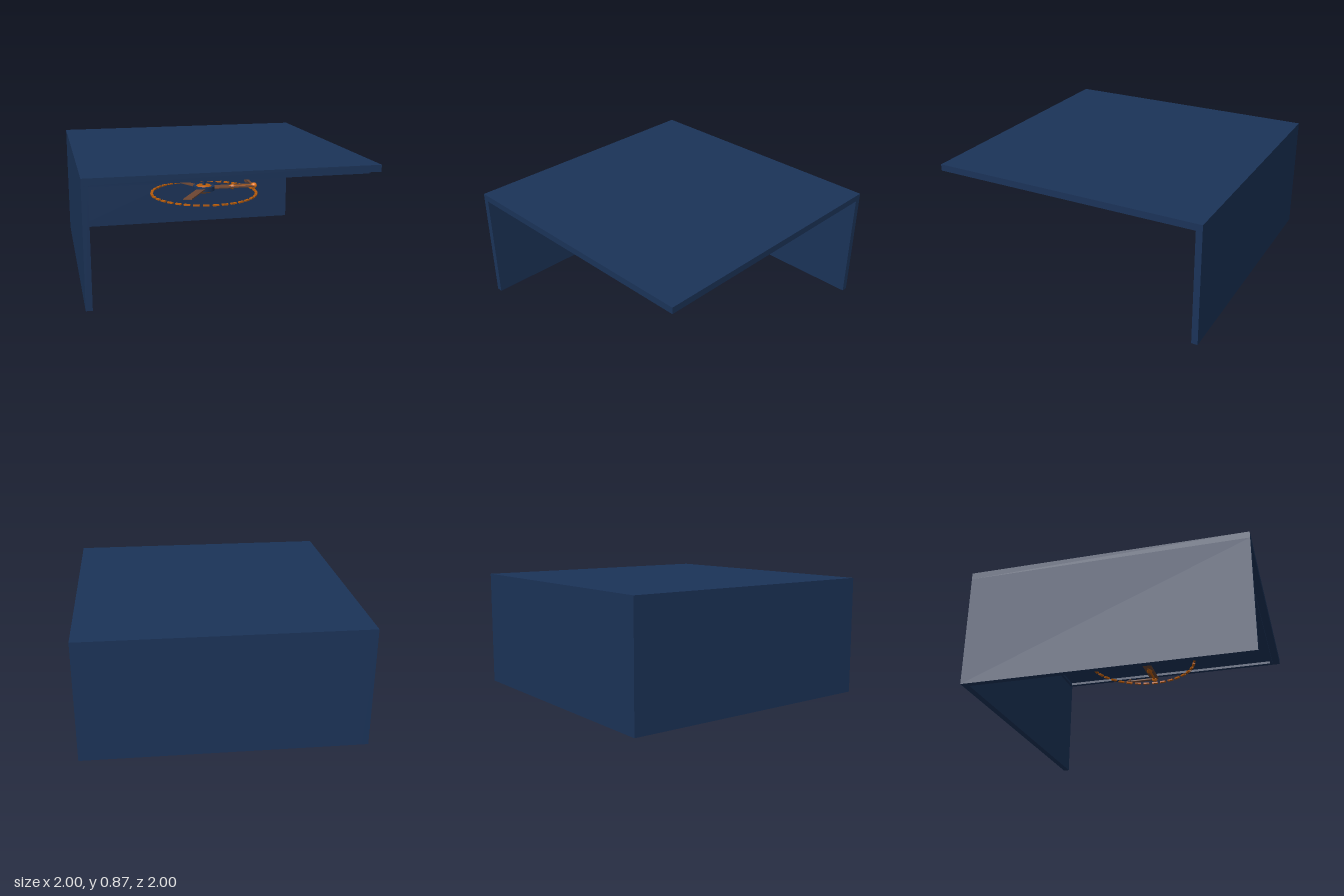
import * as THREE from 'three';

export function createModel() {
  const root = new THREE.Group();
  const mat = (name, color) => {
    const m = new THREE.MeshStandardMaterial({ color });
    m.name = name;
    return m;
  };
  const navy = mat('navy paint', 0x1b3358);
  const orange = mat('bright orange', 0xe8781a);
  const amber = mat('deep amber', 0xb85c0a);
  const brown = mat('brown wood', 0x6c4632);

  const add = (parent, name, geo, material, x = 0, y = 0, z = 0) => {
    const m = new THREE.Mesh(geo, material);
    m.name = name;
    m.position.set(x, y, z);
    parent.add(m);
    return m;
  };
  // Box given by its lowest and highest corners
  const box = (name, a, b, material) => add(root, name,
    new THREE.BoxGeometry(b[0] - a[0], b[1] - a[1], b[2] - a[2]), material,
    (a[0] + b[0]) / 2, (a[1] + b[1]) / 2, (a[2] + b[2]) / 2);

  // Room corner: ceiling and two walls, open at the front and at +x
  const top = 0.872, ceil = 0.824, wall = -0.955;
  box('ceiling', [-1, ceil, -1], [1, top, 1], navy);
  box('sideWall', [-1, 0, -1], [wall, ceil, 1], navy);
  box('backWall', [wall, 0, -1], [1, ceil, wall], navy);

  // Square trim frame under the ceiling
  const t0 = -0.95, t1 = 0.942, tw = 0.02, ty = 0.803;
  box('backTrim', [t0, ty, t0], [t1, ceil, t0 + tw], navy);
  box('frontTrim', [t0, ty, t1 - tw], [t1, ceil, t1], navy);
  box('sideTrimA', [t0, ty, t0 + tw], [t0 + tw, ceil, t1 - tw], navy);
  box('sideTrimB', [t1 - tw, ty, t0 + tw], [t1, ceil, t1 - tw], navy);

  // Ceiling fan: canopy, rod, collar, motor and lower cap
  const fan = new THREE.Group();
  fan.name = 'fan';
  root.add(fan);
  const disc = (name, rTop, rBottom, y0, y1, material) => add(fan, name,
    new THREE.CylinderGeometry(rTop, rBottom, y1 - y0, 40), material, 0, (y0 + y1) / 2, 0);
  disc('canopy', 0.055, 0.052, 0.787, 0.824, amber);
  disc('rod', 0.012, 0.012, 0.55, 0.79, navy);
  disc('collar', 0.05, 0.06, 0.553, 0.56, amber);
  disc('motor', 0.085, 0.085, 0.518, 0.553, navy);
  disc('motorCap', 0.07, 0.055, 0.504, 0.518, amber);

  // Three blades, slightly pitched
  for (let i = 0; i < 3; i++) {
    const arm = new THREE.Group();
    arm.name = 'bladeArm';
    arm.rotation.y = i * Math.PI * 2 / 3;
    fan.add(arm);
    const blade = add(arm, 'blade', new THREE.BoxGeometry(0.33, 0.008, 0.07), brown, 0.235, 0.537, 0);
    blade.rotation.x = 0.1;
  }

  // Marker ball at the tip of one blade
  const tip = new THREE.Vector3(0.405, 0.534, 0);
  add(root, 'tipBall', new THREE.SphereGeometry(0.024, 24, 16), orange, tip.x, tip.y, tip.z);

  // Arrows from the ball: along the tangent and toward the hub
  const arrow = (name, dir, length, material) => {
    const g = new THREE.Group();
    g.name = name;
    g.position.copy(tip);
    g.quaternion.setFromUnitVectors(new THREE.Vector3(0, 1, 0), dir);
    const head = 0.055;
    add(g, 'arrowShaft', new THREE.CylinderGeometry(0.01, 0.01, length - head, 16), material, 0, (length - head) / 2, 0);
    add(g, 'arrowHead', new THREE.ConeGeometry(0.024, head, 20), material, 0, length - head / 2, 0);
    root.add(g);
  };
  arrow('tangentArrow', new THREE.Vector3(0, 0, -1), 0.26, brown);
  arrow('inwardArrow', new THREE.Vector3(-1, 0, 0), 0.225, amber);

  // Dashed circle below the blade tips
  const ring = new THREE.Group();
  ring.name = 'dashedPath';
  ring.position.y = 0.498;
  root.add(ring);
  const count = 36, radius = 0.407;
  for (let i = 0; i < count; i++) {
    const a = i * Math.PI * 2 / count;
    const dash = add(ring, 'dash', new THREE.BoxGeometry(0.02, 0.011, 0.047), amber,
      Math.cos(a) * radius, 0, Math.sin(a) * radius);
    dash.rotation.y = -a;
  }
  return root;
}
